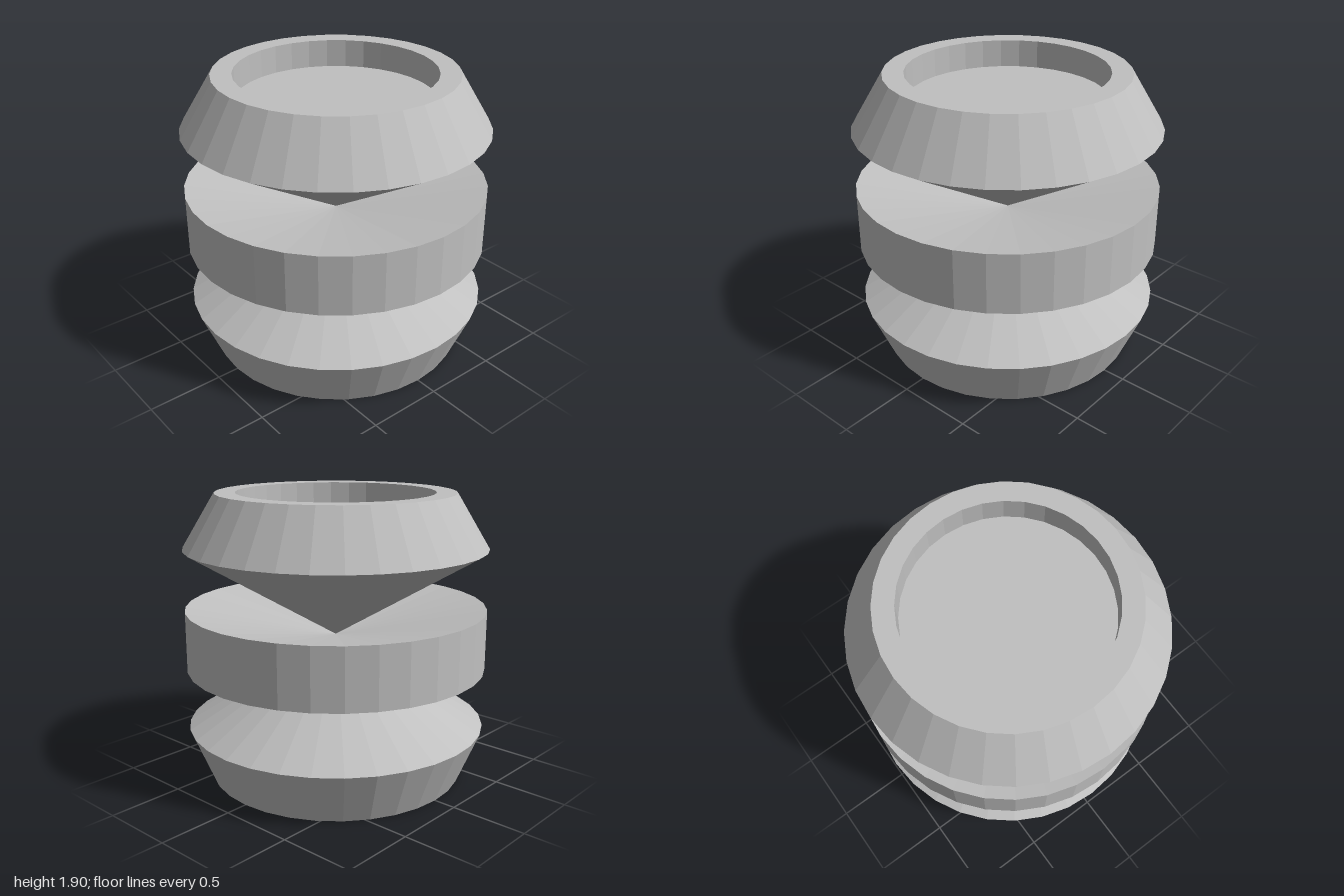
import * as THREE from 'three';

const SIDES = 32;
const MID = 0.95; // height at which all the cones meet on the axis

export function createModel() {
  const grey = new THREE.MeshStandardMaterial({ color: 0xc0c0c0 });
  grey.name = 'grey';
  grey.flatShading = true;

  const model = new THREE.Group();
  model.name = 'groovedSpool';

  // Profiles are [radius, height], running from the lower axis point to the upper one
  const addTurned = (name, profile) => {
    const points = profile.map(([r, y]) => new THREE.Vector2(r, y));
    const mesh = new THREE.Mesh(new THREE.LatheGeometry(points, SIDES), grey);
    mesh.name = name;
    model.add(mesh);
  };

  // Base: shallow recess underneath, flared foot, cone rising to the centre
  addTurned('base', [
    [0, 0.11], [0.74, 0.11], [0.74, 0], [0.855, 0], [1, 0.35], [0, MID],
  ]);

  // Middle ring: straight rim with dished faces above and below
  addTurned('middleRing', [
    [0, MID], [1, 0.75], [1, 1.15], [0, MID],
  ]);

  // Top: cone opening from the centre, tapered shoulder, recessed cup
  addTurned('topCup', [
    [0, MID], [1, 1.55], [0.785, 1.905], [0.65, 1.905], [0.65, 1.72], [0, 1.72],
  ]);

  return model;
}
